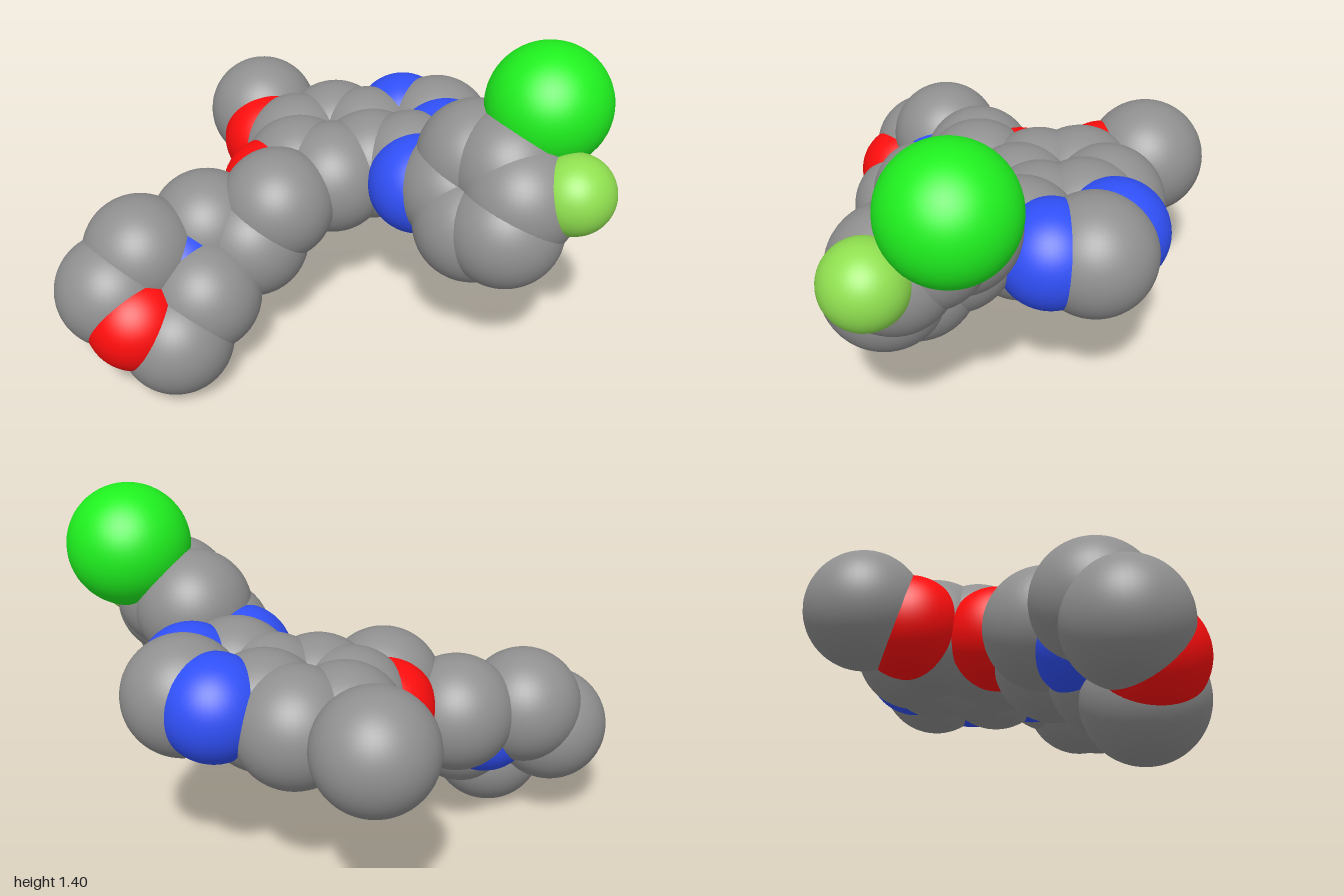
import * as THREE from 'three';

// Radius and colour of each kind of ball
const kinds = {
  carbon: { radius: 0.235, color: 0x909090 },
  nitrogen: { radius: 0.208, color: 0x3050f8 },
  oxygen: { radius: 0.205, color: 0xff0d0d },
  chlorine: { radius: 0.247, color: 0x1ff01f },
  fluorine: { radius: 0.16, color: 0x90e050 },
};

// Each section of the molecule: [kind, x, y, z]
const sections = {
  // two fused six-sided rings
  fusedRings: [
    ['nitrogen', -0.24, 0.755, -0.68],
    ['carbon', -0.09, 0.755, -0.75],
    ['nitrogen', 0.05, 0.765, -0.67],
    ['carbon', 0.05, 0.73, -0.49],
    ['carbon', -0.1, 0.7, -0.4],
    ['carbon', -0.25, 0.71, -0.49],
    ['carbon', -0.4, 0.695, -0.43],
    ['carbon', -0.42, 0.68, -0.24],
    ['carbon', -0.28, 0.67, -0.15],
    ['carbon', -0.135, 0.68, -0.22],
  ],
  // short side branch
  methoxyBranch: [
    ['oxygen', -0.57, 0.67, -0.2],
    ['carbon', -0.735, 0.72, -0.27],
  ],
  // chain leading forward
  chain: [
    ['oxygen', -0.285, 0.635, -0.01],
    ['carbon', -0.13, 0.655, 0.065],
    ['carbon', -0.15, 0.51, 0.18],
    ['carbon', -0.295, 0.555, 0.31],
  ],
  // puckered ring at the front end
  frontRing: [
    ['nitrogen', -0.235, 0.45, 0.48],
    ['carbon', -0.1, 0.375, 0.45],
    ['carbon', -0.08, 0.237, 0.6],
    ['oxygen', -0.165, 0.33, 0.735],
    ['carbon', -0.3, 0.41, 0.76],
    ['carbon', -0.315, 0.535, 0.615],
  ],
  // linking ball and the tilted ring on the left
  sideRing: [
    ['nitrogen', 0.19, 0.745, -0.415],
    ['carbon', 0.345, 0.785, -0.475],
    ['carbon', 0.37, 0.915, -0.545],
    ['carbon', 0.52, 0.935, -0.58],
    ['carbon', 0.635, 0.86, -0.55],
    ['carbon', 0.63, 0.743, -0.48],
    ['carbon', 0.485, 0.7, -0.445],
    ['chlorine', 0.535, 1.16, -0.75],
    ['fluorine', 0.8, 0.925, -0.655],
  ],
};

export function createModel() {
  const model = new THREE.Group();
  model.name = 'spaceFillingMolecule';

  // one shared sphere and material per kind
  const parts = {};
  for (const [kind, { radius, color }] of Object.entries(kinds)) {
    parts[kind] = {
      geometry: new THREE.SphereGeometry(radius, 48, 32),
      material: new THREE.MeshStandardMaterial({ color }),
    };
  }

  for (const [name, atoms] of Object.entries(sections)) {
    const group = new THREE.Group();
    group.name = name;
    for (const [kind, x, y, z] of atoms) {
      const ball = new THREE.Mesh(parts[kind].geometry, parts[kind].material);
      ball.name = kind + 'Atom';
      ball.position.set(x, y, z);
      group.add(ball);
    }
    model.add(group);
  }
  return model;
}
